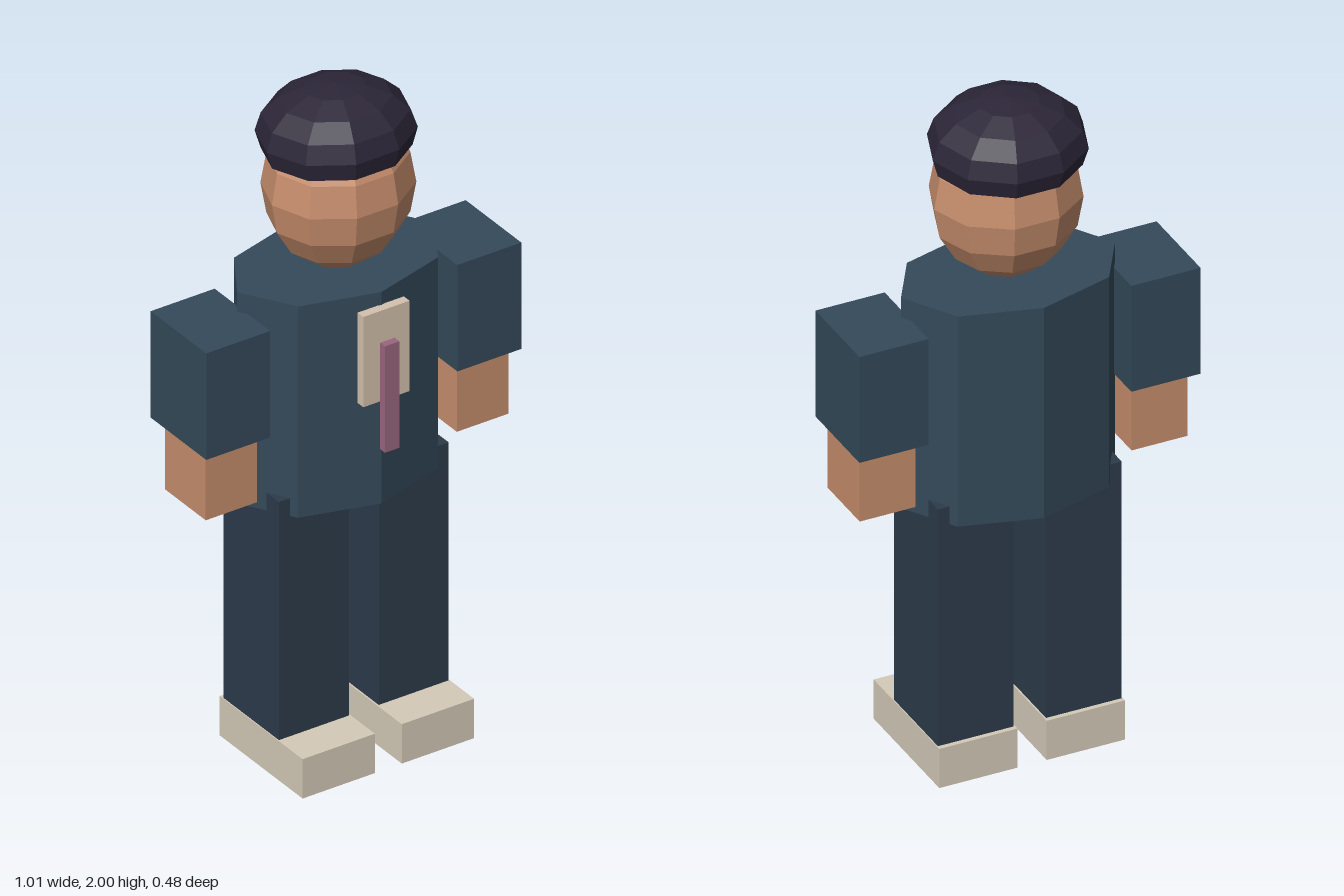
import * as THREE from 'three';

const paint = (color) => new THREE.MeshStandardMaterial({ color, flatShading: true, side: THREE.DoubleSide });

export function createModel() {
  const model = new THREE.Group();
  const jacket = paint(0x34495a), trousers = paint(0x2c3b4b), skin = paint(0xc68d6c);
  const hairMat = paint(0x2c2638), cream = paint(0xd4cab8), shirtMat = paint(0xd4c2ae), tieMat = paint(0x9a667e);

  const add = (name, geometry, material) => {
    const mesh = new THREE.Mesh(geometry, material);
    mesh.name = name;
    model.add(mesh);
    return mesh;
  };
  // Box given by its extents on each axis
  const box = (name, material, [x0, x1], [y0, y1], [z0, z1]) =>
    add(name, new THREE.BoxGeometry(x1 - x0, y1 - y0, z1 - z0), material)
      .position.set((x0 + x1) / 2, (y0 + y1) / 2, (z0 + z1) / 2);

  // Eight-sided torso, flattened front to back
  const torso = add('torso', new THREE.CylinderGeometry(1, 1, 0.655, 8), jacket);
  torso.scale.set(0.317, 1, 0.214);
  torso.position.set(0, 1.1325, -0.026);

  // Shirt front and tie
  box('shirtFront', shirtMat, [-0.074, 0.074], [1.14, 1.42], [0.185, 0.212]);
  box('tie', tieMat, [-0.023, 0.023], [0.995, 1.325], [0.216, 0.239]);

  // Limbs, mirrored left and right
  for (const [side, s] of [['left', 1], ['right', -1]]) {
    const span = (a, b) => (s > 0 ? [a, b] : [-b, -a]);
    box(side + 'Sleeve', jacket, span(0.3, 0.505), [1.07, 1.4], [-0.157, 0.105]);
    box(side + 'Hand', skin, span(0.32, 0.485), [0.86, 1.07], [-0.118, 0.073]);
    box(side + 'Leg', trousers, span(0.048, 0.272), [0.12, 0.86], [-0.156, 0.105]);
    box(side + 'Shoe', cream, span(0.043, 0.275), [0, 0.122], [-0.17, 0.221]);
  }

  // Faceted head
  const head = add('head', new THREE.SphereGeometry(1, 10, 8), skin);
  head.scale.set(0.213, 0.24, 0.195);
  head.position.set(0, 1.7, -0.015);

  // Hair cap, open below and tilted slightly back
  const hair = add('hair', new THREE.SphereGeometry(1, 10, 5, 0, Math.PI * 2, 0, Math.PI * 0.62), hairMat);
  hair.scale.set(0.222, 0.141, 0.206);
  hair.position.set(0, 1.859, -0.025);
  hair.rotation.x = -0.04;

  return model;
}
